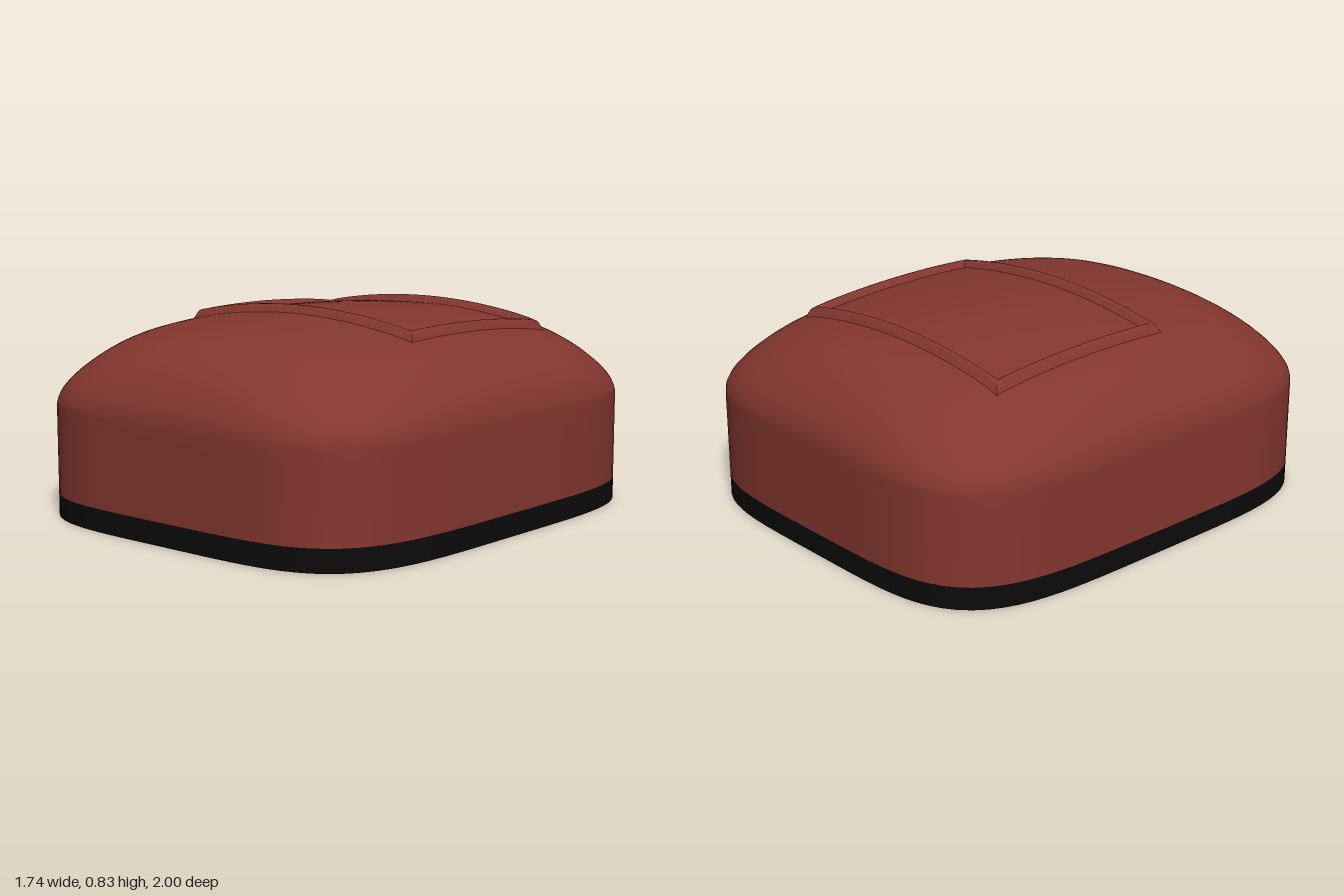
import * as THREE from 'three';
import { toCreasedNormals } from 'three/addons/utils/BufferGeometryUtils.js';

const HALF_X = 0.87, HALF_Z = 1, POWER = 4.5;
const RIM = 0.44, SEAM = 0.09, FLAT = 0.65;
const SEGMENTS = 128;

// Rounded-rectangle ring at a fraction r of the full outline; height(x, z) sets y
function outlineRing(r, height) {
  const ring = [];
  for (let i = 0; i < SEGMENTS; i++) {
    const a = (i / SEGMENTS) * Math.PI * 2;
    const c = Math.cos(a), s = Math.sin(a);
    const k = r / Math.pow(Math.abs(c) ** POWER + Math.abs(s) ** POWER, 1 / POWER);
    const x = HALF_X * k * c, z = HALF_Z * k * s;
    ring.push([x, height(x, z), z]);
  }
  return ring;
}

// Height of the domed top, rounding down to the rim
function domeHeight(x, z) {
  const r = Math.pow(Math.abs(x / HALF_X) ** POWER + Math.abs(z / HALF_Z) ** POWER, 1 / POWER);
  const t = Math.min(1, Math.max(0, (r - FLAT) / (1 - FLAT)));
  const crown = 0.808 - 0.19 * x * x - 0.11 * z * z;
  return RIM + (crown - RIM) * Math.sqrt(1 - t * t);
}

// Skin a list of closed rings
function skin(rings) {
  const n = rings[0].length, index = [];
  for (let j = 0; j < rings.length - 1; j++) {
    for (let i = 0; i < n; i++) {
      const a = j * n + i, b = j * n + (i + 1) % n;
      index.push(a, a + n, b, b, a + n, b + n);
    }
  }
  const geometry = new THREE.BufferGeometry();
  geometry.setAttribute('position', new THREE.Float32BufferAttribute(rings.flat(2), 3));
  geometry.setIndex(index);
  geometry.computeVertexNormals();
  return geometry;
}

// Shell: straight wall, rounded shoulder, gently domed top
function shellGeometry() {
  const rings = [SEAM, 0.25, 0.38].map(y => outlineRing(1, () => y));
  const steps = 18;
  for (let i = 0; i <= steps; i++) {
    const t = Math.cos((i / steps) * Math.PI / 2);
    rings.push(outlineRing(FLAT + (1 - FLAT) * t, i === 0 ? () => RIM : domeHeight));
  }
  for (let i = 9; i >= 0; i--) rings.push(outlineRing(Math.max(0.001, FLAT * i / 10), domeHeight));
  return skin(rings);
}

// Base: flat underside and short upright edge
function baseGeometry() {
  const rings = [
    outlineRing(0.001, () => 0), outlineRing(1, () => 0),
    outlineRing(1, () => SEAM),
  ];
  return toCreasedNormals(skin(rings), 0.6);
}

// Raised rectangular ridge that follows the dome, mitred at the corners
function frameGeometry() {
  const profile = [[0.03, -0.01], [0.012, 0.024], [0.005, 0.03],
    [-0.005, 0.03], [-0.012, 0.024], [-0.03, -0.01]];
  const corners = [[1, -1], [1, 1], [-1, 1], [-1, -1]];
  const steps = 24, centerZ = -0.16;
  const rings = profile.map(([offset, lift]) => {
    const ring = [];
    corners.forEach(([ax, az], side) => {
      const [bx, bz] = corners[(side + 1) % 4];
      for (let i = 0; i < steps; i++) {
        const f = i / steps;
        const x = (0.55 + offset) * (ax + (bx - ax) * f);
        const z = centerZ + (0.4 + offset) * (az + (bz - az) * f);
        ring.push([x, domeHeight(x, z) + lift, z]);
      }
    });
    return ring;
  });
  return toCreasedNormals(skin(rings), 1.0);
}

export function createModel() {
  const red = new THREE.MeshStandardMaterial({ color: 0x84372f });
  red.name = 'brick red';
  const black = new THREE.MeshStandardMaterial({ color: 0x0b0b0b });
  black.name = 'black';

  const group = new THREE.Group();
  group.name = 'domedCase';
  const add = (name, geometry, material) => {
    const mesh = new THREE.Mesh(geometry, material);
    mesh.name = name;
    group.add(mesh);
  };
  add('shell', shellGeometry(), red);
  add('topFrame', frameGeometry(), red);
  add('base', baseGeometry(), black);
  return group;
}
